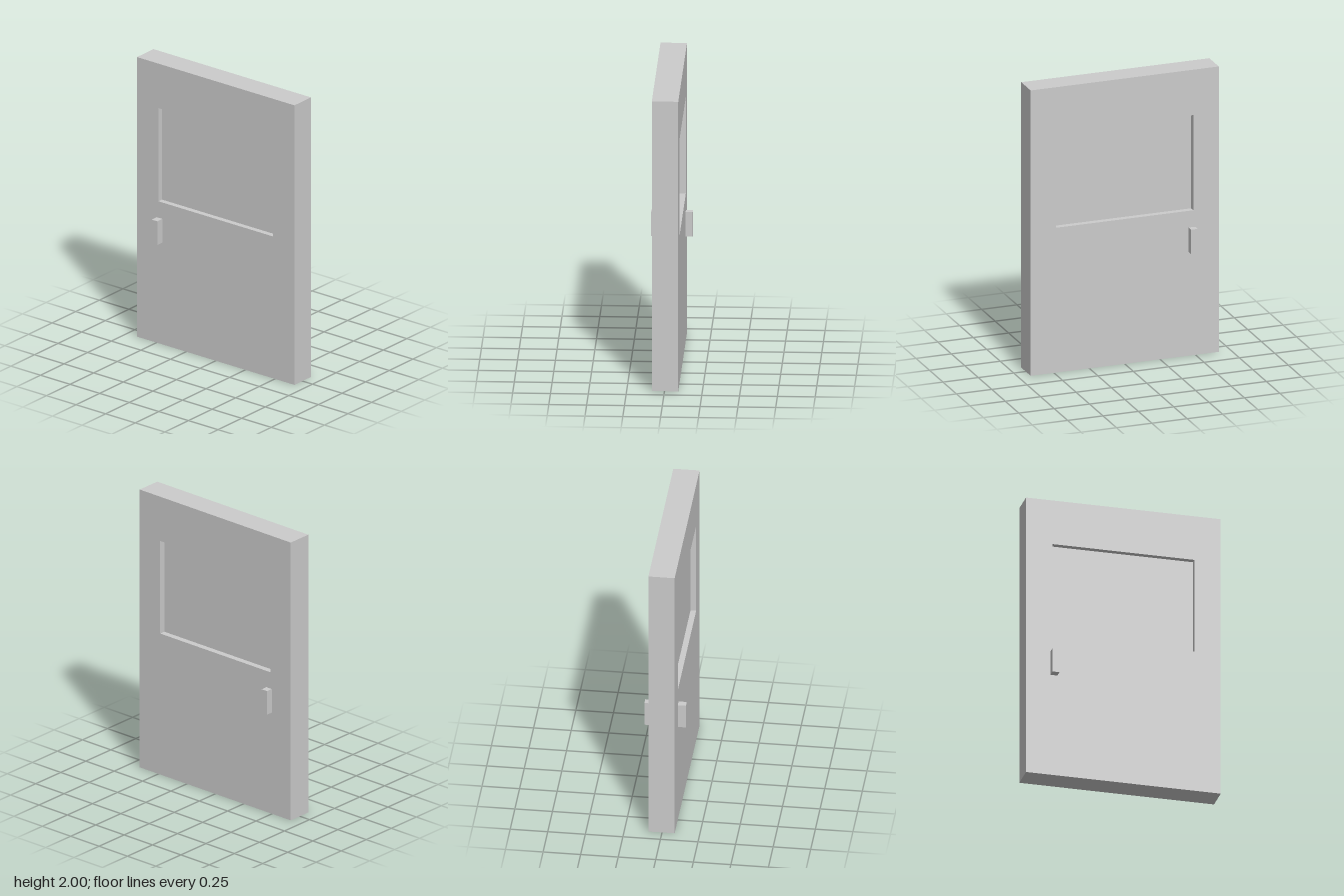
import * as THREE from 'three';

const FRONT = 0.084, BACK = -0.091; // faces of the door slab

export function createModel() {
  const door = new THREE.Group();
  door.name = 'door';
  const material = new THREE.MeshStandardMaterial({ color: 0xcccccc, flatShading: true });

  const add = (name, geometry) => {
    const mesh = new THREE.Mesh(geometry, material);
    mesh.name = name;
    door.add(mesh);
  };
  const rect = (Type, x0, x1, y0, y1) => new Type([
    new THREE.Vector2(x0, y0), new THREE.Vector2(x1, y0),
    new THREE.Vector2(x1, y1), new THREE.Vector2(x0, y1),
  ]);
  const box = (x0, x1, y0, y1, z0, z1) =>
    new THREE.BoxGeometry(x1 - x0, y1 - y0, z1 - z0)
      .translate((x0 + x1) / 2, (y0 + y1) / 2, (z0 + z1) / 2);

  // Slab with a window opening
  const slab = rect(THREE.Shape, -0.665, 0.665, 0, 2);
  slab.holes.push(rect(THREE.Path, -0.485, 0.485, 1.015, 1.682));
  add('doorSlab', new THREE.ExtrudeGeometry(slab, { depth: FRONT - BACK, bevelEnabled: false })
    .translate(0, 0, BACK));

  // Window pane, recessed on both sides
  add('windowPane', box(-0.485, 0.485, 1.015, 1.682, BACK + 0.041, FRONT - 0.038));

  // Block handles on both faces
  add('frontHandle', box(-0.498, -0.451, 0.728, 0.898, FRONT, 0.138));
  add('backHandle', box(-0.498, -0.451, 0.728, 0.898, -0.138, BACK));

  return door;
}
